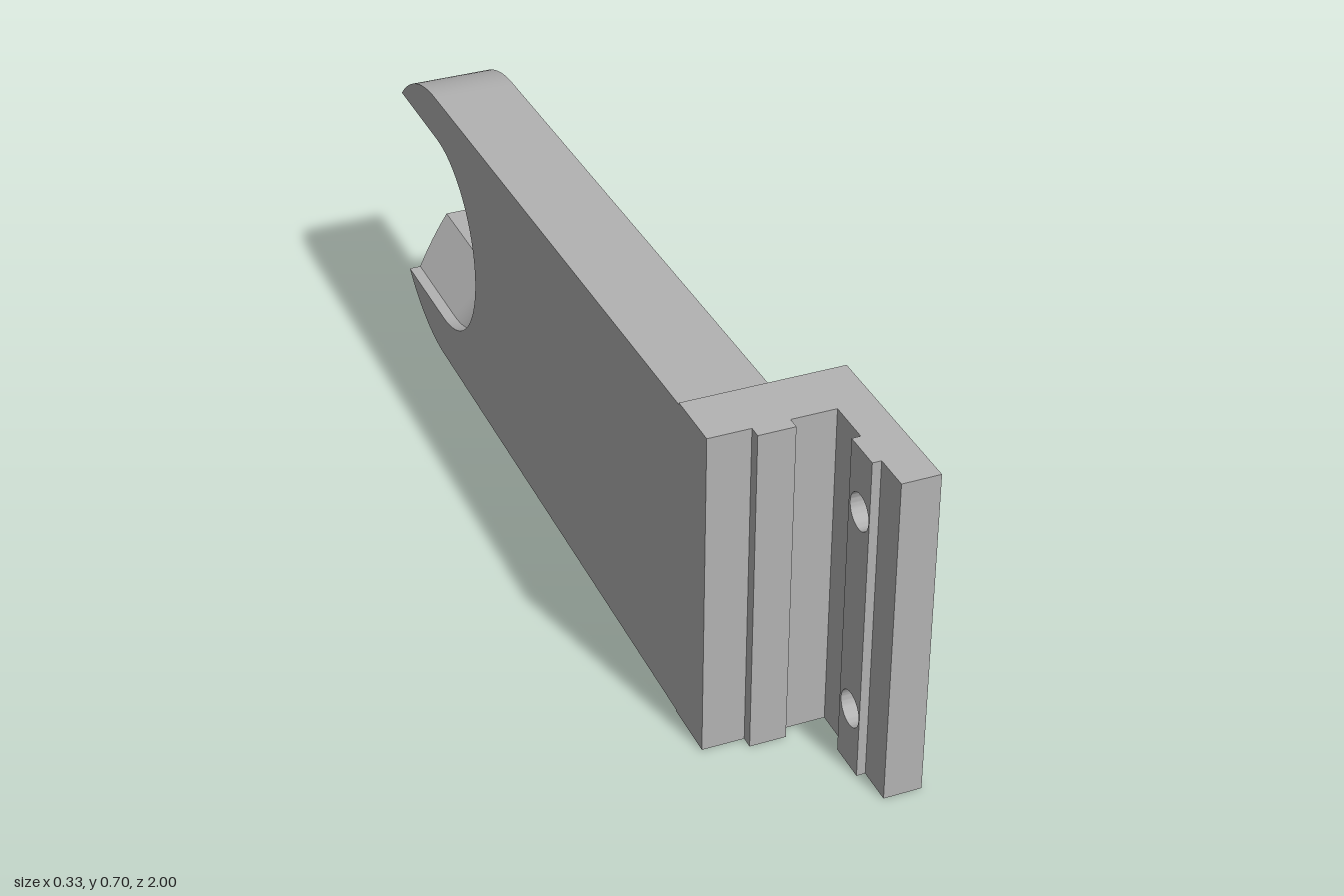
import * as THREE from 'three';
import { toCreasedNormals } from 'three/addons/utils/BufferGeometryUtils.js';

const H = 0.704, MID = H / 2;          // bracket height and its middle
const END = 0.706, R = 0.3235;         // rounded end: distance behind centre, radius

// Shapes are drawn in (-z, y) and run along x.
const toSide = (geo) => geo.rotateY(Math.PI / 2);

// Plate outline with a slot of half-width r, always the same number of points
function outline(r) {
  const pts = [[-0.745, 0], [-0.62, 0], [-0.62, 0.004]];
  const tip = Math.asin(r / R), n = 20, m = 40;
  for (let i = 0; i <= n; i++) {
    const t = -Math.PI / 2 + (Math.PI / 2 - tip) * i / n;
    pts.push([END + R * Math.cos(t), MID + R * Math.sin(t)]);
  }
  for (let i = 0; i <= m; i++) {
    const t = -Math.PI / 2 - Math.PI * i / m;
    pts.push([END + r * Math.cos(t), MID + r * Math.sin(t)]);
  }
  for (let i = 0; i <= n; i++) {
    const t = tip + (Math.PI / 2 - tip) * i / n;
    pts.push([END + R * Math.cos(t), MID + R * Math.sin(t)]);
  }
  pts.push([-0.62, H - 0.004], [-0.62, H], [-0.745, H]);
  return pts;
}

// Closed solid through outlines at increasing x
function loft(stations) {
  const rings = stations.map(([x, r]) => outline(r).map(([a, b]) => [a, b, x]));
  const pos = [];
  const tri = (a, b, c) => pos.push(...a, ...b, ...c);
  for (let k = 0; k < rings.length - 1; k++) {
    const p = rings[k], q = rings[k + 1];
    for (let i = 0; i < p.length; i++) {
      const j = (i + 1) % p.length;
      tri(p[i], p[j], q[j]);
      tri(p[i], q[j], q[i]);
    }
  }
  const cap = (ring, flip) => {
    const flat = ring.map(([a, b]) => new THREE.Vector2(a, b));
    for (const [a, b, c] of THREE.ShapeUtils.triangulateShape(flat, [])) {
      if (flip) tri(ring[a], ring[c], ring[b]);
      else tri(ring[a], ring[b], ring[c]);
    }
  };
  cap(rings[0], true);
  cap(rings[rings.length - 1], false);
  const geo = new THREE.BufferGeometry();
  geo.setAttribute('position', new THREE.Float32BufferAttribute(pos, 3));
  return toCreasedNormals(toSide(geo), 0.45);
}

// Full-height slab between x0..x1 and z0..z1, with optional pair of round holes
function slab(x0, x1, z0, z1, holeR = 0) {
  const s = new THREE.Shape();
  s.moveTo(-z1, 0).lineTo(-z0, 0).lineTo(-z0, H).lineTo(-z1, H).closePath();
  if (holeR) {
    for (const y of [MID - 0.222, MID + 0.222]) {
      s.holes.push(new THREE.Path().absarc(-0.883, y, holeR, 0, Math.PI * 2, true));
    }
  }
  const geo = new THREE.ExtrudeGeometry(s, { depth: x1 - x0, bevelEnabled: false, curveSegments: 32 });
  geo.translate(0, 0, x0);
  return toCreasedNormals(toSide(geo), 0.45);
}

export function createModel() {
  const metal = new THREE.MeshStandardMaterial({ color: 0xb3b3b3 });
  metal.name = 'plain grey';
  const model = new THREE.Group();
  model.name = 'slottedBracket';
  const add = (name, geo) => {
    const mesh = new THREE.Mesh(geo, metal);
    mesh.name = name;
    model.add(mesh);
  };

  // Long plate with a slot, countersunk on its outer (-x) side
  const stations = [[-0.167, 0.225]];
  const steps = 8;
  for (let i = 0; i <= steps; i++) {
    const t = i / steps;
    stations.push([-0.142 + 0.088 * t, 0.225 - 0.0875 * t]);
  }
  stations.push([0.01, 0.1375]);
  add('slottedPlate', loft(stations));

  // Locating rib on the plate's front end
  add('plateRib', slab(-0.08, -0.005, 0.745, 0.77));

  // Offset block and mounting flange with counterbored holes
  add('offsetBlock', slab(0.01, 0.087, 0.62, 0.745));
  add('flangeInner', slab(0.087, 0.145, 0.62, 1, 0.037));
  add('flangeOuter', slab(0.145, 0.165, 0.62, 1, 0.067));
  add('flangeRib', slab(0.069, 0.087, 0.84, 0.923, 0.037));

  return model;
}
